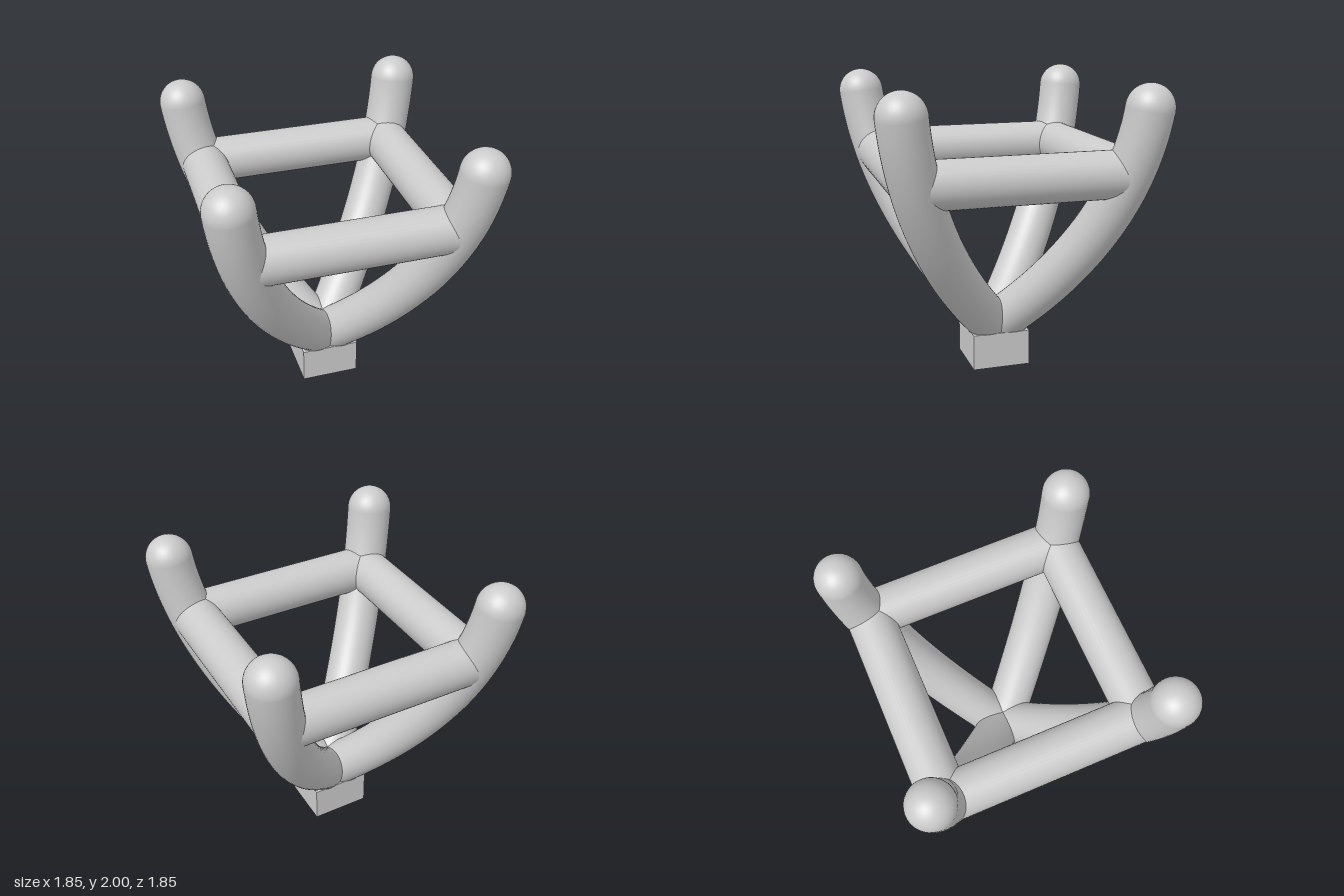
import * as THREE from 'three';

const R = 0.155;      // radius of every round bar
const BASE_Y = 0.25;  // top of the square foot

export function createModel() {
  const model = new THREE.Group();
  const material = new THREE.MeshStandardMaterial({ color: 0xcccccc });
  const add = (parent, name, geometry) => {
    const mesh = new THREE.Mesh(geometry, material);
    mesh.name = name;
    parent.add(mesh);
    return mesh;
  };

  // square foot
  add(model, 'foot', new THREE.BoxGeometry(0.4, BASE_Y, 0.4)).position.y = BASE_Y / 2;

  // curved arm sweeping out along the diagonal
  const start = new THREE.Vector3(0, BASE_Y, 0);
  const end = new THREE.Vector3(0.768, 2 - R, 0.768);
  const path = new THREE.QuadraticBezierCurve3(start, new THREE.Vector3(0.675, 1, 0.675), end);
  const sides = 40;
  const armGeometry = new THREE.TubeGeometry(path, 48, R, sides);

  // cut the lower end level: slide vertices along the axis onto the foot plane
  const axis = path.getTangent(0);
  const pos = armGeometry.attributes.position;
  const v = new THREE.Vector3();
  for (let i = 0; i < pos.count; i++) {
    v.fromBufferAttribute(pos, i);
    if (i <= sides || v.y < BASE_Y) {
      v.addScaledVector(axis, (BASE_Y - v.y) / axis.y);
      pos.setXYZ(i, v.x, v.y, v.z);
    }
  }

  // underside of the level cut, an ellipse stretched along the diagonal
  const capGeometry = new THREE.CircleGeometry(R, sides)
    .scale(1 / axis.y, 1, 1)
    .rotateX(Math.PI / 2)
    .rotateY(-Math.PI / 4)
    .translate(0, BASE_Y, 0);

  const tipGeometry = new THREE.SphereGeometry(R, 40, 24);
  const railGeometry = new THREE.CylinderGeometry(R, R, 1.344, 40).rotateZ(Math.PI / 2);

  // four identical quarters: an arm with its rounded tip, and a rail
  for (let i = 0; i < 4; i++) {
    const quarter = new THREE.Group();
    quarter.name = `quarter${i + 1}`;
    quarter.rotation.y = i * Math.PI / 2;
    add(quarter, 'arm', armGeometry);
    add(quarter, 'armUnderside', capGeometry);
    add(quarter, 'armTip', tipGeometry).position.copy(end);
    add(quarter, 'rail', railGeometry).position.set(0, 1.425, 0.672);
    model.add(quarter);
  }
  return model;
}
